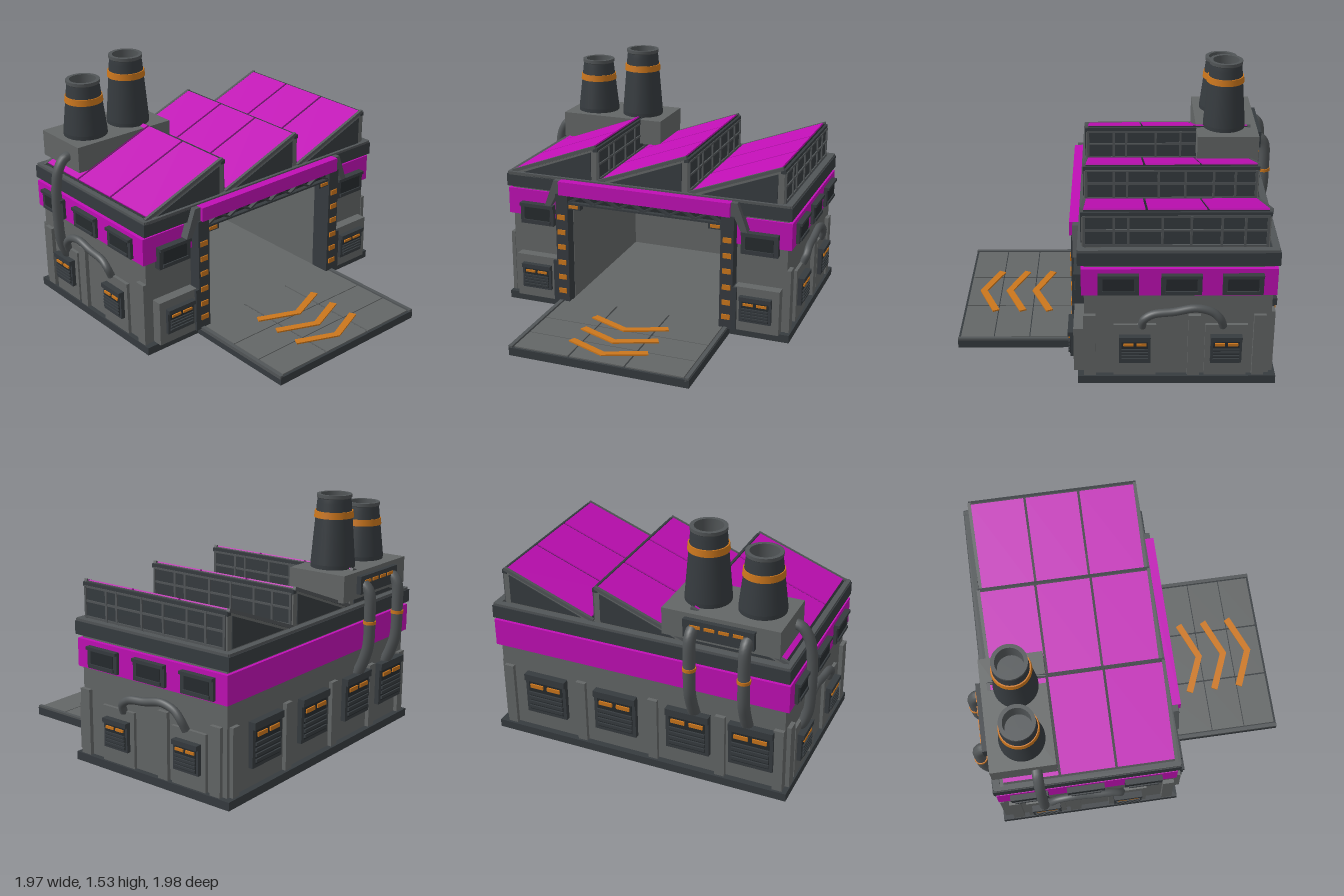
import * as THREE from 'three';

const mat = (name, color, side = THREE.FrontSide) => {
  const m = new THREE.MeshStandardMaterial({ color, side });
  m.name = name;
  return m;
};

export function createModel() {
  const gray = mat('wall gray', 0x636666);
  const dark = mat('dark metal', 0x363b3f);
  const mid = mat('pipe gray', 0x515557);
  const black = mat('shadow metal', 0x262b2e);
  const magenta = mat('magenta paint', 0xc00fb5);
  const orange = mat('orange paint', 0xcb761c);
  const model = new THREE.Group();

  const add = (parent, name, geo, m) => {
    const mesh = new THREE.Mesh(geo, m);
    mesh.name = name;
    parent.add(mesh);
    return mesh;
  };
  // Box given by its ranges on each axis
  const box = (parent, name, m, x0, x1, y0, y1, z0, z1) => {
    const mesh = add(parent, name, new THREE.BoxGeometry(x1 - x0, y1 - y0, z1 - z0), m);
    mesh.position.set((x0 + x1) / 2, (y0 + y1) / 2, (z0 + z1) / 2);
    return mesh;
  };
  // Flat outline in xy pushed along z
  const prism = (parent, name, m, pts, z0, z1) => {
    const shape = new THREE.Shape(pts.map(p => new THREE.Vector2(...p)));
    const mesh = add(parent, name, new THREE.ExtrudeGeometry(shape, { depth: z1 - z0, bevelEnabled: false }), m);
    mesh.position.z = z0;
    return mesh;
  };
  // Straight bar between two points in an xy plane
  const bar = (parent, name, m, a, b, w, z, d) => {
    const mesh = add(parent, name, new THREE.BoxGeometry(Math.hypot(b[0] - a[0], b[1] - a[1]), w, d), m);
    mesh.position.set((a[0] + b[0]) / 2, (a[1] + b[1]) / 2, z);
    mesh.rotation.z = Math.atan2(b[1] - a[1], b[0] - a[0]);
    return mesh;
  };
  const pipe = (parent, name, pts, r) => add(parent, name, new THREE.TubeGeometry(
    new THREE.CatmullRomCurve3(pts.map(p => new THREE.Vector3(...p))), 40, r, 12), mid);

  // Foundation
  box(model, 'foundation', dark, -0.93, 0.955, 0, 0.05, -0.91, 0.24);
  box(model, 'hallFloor', gray, -0.48, 0.525, 0.05, 0.058, -0.84, 0.24);

  // Walls around an open hall
  box(model, 'leftWall', gray, 0.525, 0.92, 0.05, 0.78, -0.87, 0.2);
  box(model, 'rightWall', gray, -0.9, -0.48, 0.05, 0.78, -0.87, 0.2);
  box(model, 'backWall', gray, -0.48, 0.525, 0.05, 0.78, -0.87, -0.84);
  box(model, 'hallCeiling', gray, -0.48, 0.525, 0.74, 0.78, -0.84, 0.2);

  // Painted band
  box(model, 'bandLeft', magenta, 0.56, 0.945, 0.59, 0.76, -0.89, 0.215);
  box(model, 'bandRight', magenta, -0.925, -0.53, 0.59, 0.76, -0.89, 0.215);
  box(model, 'bandBack', magenta, -0.53, 0.56, 0.59, 0.76, -0.89, -0.865);

  // Cornice with upper rails
  box(model, 'cornice', dark, -0.925, 0.945, 0.78, 0.86, -0.9, 0.235);
  for (const z of [-0.875, 0.215]) box(model, 'corniceRail', mid, -0.91, 0.93, 0.855, 0.875, z - 0.02, z + 0.02);
  for (const x of [-0.9, 0.92]) box(model, 'corniceRail', mid, x - 0.02, x + 0.02, 0.855, 0.875, -0.89, 0.23);

  // Saw-tooth roof
  for (let i = 0; i < 3; i++) {
    const tooth = new THREE.Group();
    tooth.name = 'roofTooth';
    tooth.position.x = -0.895 + i * 0.597;
    model.add(tooth);
    prism(tooth, 'toothBody', gray, [[0, 0.86], [0.585, 0.86], [0.585, 1.07], [0.56, 1.075]], -0.84, 0.21);
    for (const z of [-0.846, 0.209]) {
      prism(tooth, 'gable', dark, [[0.08, 0.875], [0.548, 0.875], [0.548, 1.055]], z, z + 0.007);
    }
    // Sloping panels separated by dark seams
    bar(tooth, 'slopeBacking', black, [0.01, 0.87], [0.575, 1.085], 0.012, -0.315, 1.05);
    for (const [z0, z1] of [[-0.83, -0.5], [-0.485, -0.16], [-0.145, 0.2]]) {
      bar(tooth, 'roofPanel', magenta, [0.02, 0.882], [0.565, 1.089], 0.014, (z0 + z1) / 2, z1 - z0);
    }
    for (const z of [-0.84, 0.207]) bar(tooth, 'slopeEdge', mid, [0, 0.872], [0.578, 1.092], 0.02, z, 0.02);
    box(tooth, 'ridge', dark, 0.562, 0.592, 1.06, 1.085, -0.845, 0.215);
    // Upright glazing
    box(tooth, 'glazing', dark, 0.58, 0.588, 0.875, 1.065, -0.82, 0.19);
    for (const z of [0.195, 0.03, -0.05, -0.24, -0.4, -0.57, -0.7, -0.825]) {
      box(tooth, 'mullion', mid, 0.583, 0.597, 0.87, 1.065, z - 0.007, z + 0.007);
    }
    for (const y of [0.88, 0.975, 1.06]) box(tooth, 'glazingRail', mid, 0.583, 0.596, y - 0.006, y + 0.006, -0.83, 0.2);
  }

  // Facade fittings: local x runs along the wall, local z points outwards
  const vent = (face, u, y, w, h, z = 0) => {
    const g = new THREE.Group();
    g.name = 'vent';
    g.position.set(u, y, z);
    face.add(g);
    box(g, 'ventFrame', dark, -w / 2, w / 2, -h / 2, h / 2, 0, 0.03);
    box(g, 'ventHood', dark, -w / 2, w / 2, h * 0.34, h / 2, 0, 0.045);
    box(g, 'ventRecess', black, -w * 0.42, w * 0.42, -h * 0.42, h * 0.32, 0.03, 0.033);
    for (let i = 0; i < 4; i++) {
      const s = box(g, 'slat', dark, -w * 0.42, w * 0.42, 0, h * 0.07, 0.03, 0.043);
      s.position.y = -h * 0.34 + i * h * 0.12;
    }
    for (const s of [-1, 1]) box(g, 'ventLight', orange, s * w * 0.21 - w * 0.16, s * w * 0.21 + w * 0.16, h * 0.17, h * 0.26, 0.033, 0.042);
  };
  const windowUnit = (face, u, y, w, h) => {
    const g = new THREE.Group();
    g.name = 'window';
    g.position.set(u, y, 0);
    face.add(g);
    box(g, 'windowFrame', dark, -w / 2, w / 2, -h / 2, h / 2, 0, 0.045);
    box(g, 'windowPane', black, -w * 0.38, w * 0.38, -h * 0.28, h * 0.3, 0.045, 0.048);
    box(g, 'windowHood', dark, -w / 2, w / 2, h * 0.36, h / 2, 0, 0.06);
    box(g, 'windowSill', dark, -w * 0.4, w * 0.4, -h * 0.42, -h * 0.28, 0.04, 0.056);
  };
  const rib = (face, u, w = 0.07) => box(face, 'rib', gray, u - w / 2, u + w / 2, 0.05, 0.455, 0, 0.025);
  const facade = (name, x, z, turn) => {
    const g = new THREE.Group();
    g.name = name;
    g.position.set(x, 0, z);
    g.rotation.y = turn;
    model.add(g);
    return g;
  };

  // Both side walls
  for (const s of [1, -1]) {
    const f = facade(s > 0 ? 'leftSide' : 'rightSide', s > 0 ? 0.92 : -0.9, 0, s * Math.PI / 2);
    for (const z of [0.005, -0.35, -0.695]) windowUnit(f, -s * z, 0.668, 0.23, 0.13);
    for (const z of [0.17, -0.43, -0.805]) rib(f, -s * z);
    for (const z of [-0.09, -0.615]) {
      box(f, 'ventPlate', gray, -s * z - 0.122, -s * z + 0.122, 0.05, 0.39, 0, 0.02);
      vent(f, -s * z, 0.238, 0.18, 0.18, 0.015);
    }
    pipe(f, 'sidePipe', [[-0.13, 0.38], [-0.14, 0.435], [-0.19, 0.47], [-0.31, 0.487], [-0.44, 0.51], [-0.53, 0.485], [-0.575, 0.44], [-0.595, 0.38]]
      .map(([z, y]) => [-s * z, y, y < 0.4 ? 0.015 : 0.035]), 0.024);
  }

  // Front wall
  const front = facade('frontSide', 0.02, 0.2, 0);
  for (const s of [-1, 1]) {
    box(front, 'ventPlate', gray, s * 0.735 - 0.14, s * 0.735 + 0.14, 0.05, 0.335, 0, 0.065);
    vent(front, s * 0.73, 0.2, 0.2, 0.165, 0.055);
    windowUnit(front, s * 0.735, 0.612, 0.23, 0.14);
  }

  // Back wall
  const back = facade('backSide', 0, -0.87, Math.PI);
  for (const x of [0.61, 0.145, -0.32, -0.71]) vent(back, -x, 0.31, 0.27, 0.27, 0.01);
  for (const x of [0.87, 0.38, -0.09, -0.515, -0.87]) rib(back, -x, 0.06);

  // Gate
  const gate = new THREE.Group();
  gate.name = 'gate';
  gate.position.x = 0.02;
  model.add(gate);
  for (const s of [-1, 1]) {
    const span = (name, m, a, b, y0, y1, z0, z1) =>
      box(gate, name, m, Math.min(s * a, s * b), Math.max(s * a, s * b), y0, y1, z0, z1);
    span('gatePost', dark, 0.503, 0.585, 0.05, 0.78, 0.15, 0.28);
    span('gateButtress', dark, 0.58, 0.61, 0.05, 0.33, 0.19, 0.28);
    for (const y of [0.13, 0.225, 0.325, 0.43, 0.53, 0.63]) span('gateStripe', orange, 0.52, 0.573, y - 0.016, y + 0.016, 0.28, 0.287);
    prism(gate, 'gateBracket', mid, [[0.555, 0.865], [0.6, 0.865], [0.665, 0.69], [0.625, 0.69], [0.58, 0.78], [0.555, 0.78]].map(([x, y]) => [s * x, y]), 0.19, 0.27);
    span('lampHousing', dark, 0.42, 0.503, 0.685, 0.725, 0.23, 0.27);
    span('lamp', orange, 0.435, 0.495, 0.695, 0.715, 0.27, 0.277);
  }
  box(gate, 'gateBeam', magenta, -0.56, 0.56, 0.778, 0.866, 0.2, 0.29);
  box(gate, 'trussBacking', black, -0.51, 0.51, 0.722, 0.78, 0.2, 0.245);
  box(gate, 'trussChord', dark, -0.51, 0.51, 0.72, 0.732, 0.23, 0.275);
  for (let i = 0; i < 12; i++) {
    const x = -0.5 + i / 12, up = i % 2;
    bar(gate, 'trussBrace', dark, [x, up ? 0.775 : 0.73], [x + 1 / 12, up ? 0.73 : 0.775], 0.012, 0.258, 0.025);
  }

  // Loading ramp
  const ramp = new THREE.Group();
  ramp.name = 'ramp';
  model.add(ramp);
  box(ramp, 'rampBase', dark, -0.55, 0.58, 0, 0.05, 0.2, 0.985);
  const cols = [[-0.52, -0.173], [-0.163, 0.18], [0.19, 0.545]];
  const rows = [[0.24, 0.545], [0.551, 0.763], [0.769, 0.97]];
  for (const [x0, x1] of cols) for (const [z0, z1] of rows) box(ramp, 'rampPanel', gray, x0, x1, 0.05, 0.058, z0, z1);
  for (const x of [-0.54, 0.565]) box(ramp, 'rampEdge', mid, x - 0.012, x + 0.012, 0.04, 0.062, 0.24, 0.985);
  for (const z of [0.45, 0.62, 0.79]) {
    const c = prism(ramp, 'chevron', orange, [[-0.245, -0.02], [-0.225, 0.02], [0.01, -0.08], [0.245, 0.02], [0.265, -0.02], [0.01, -0.125]]
      .map(([x, y]) => [x, y]), 0, 0.009);
    c.rotation.x = -Math.PI / 2;
    c.position.set(0, 0.058, z - 0.01);
  }

  // Chimney block
  box(model, 'chimneyBlock', gray, -0.86, -0.16, 0.92, 1.085, -0.89, -0.5);
  box(model, 'chimneyVent', dark, -0.72, -0.3, 0.95, 1.06, -0.92, -0.88);
  for (let i = 0; i < 4; i++) box(model, 'chimneyVentLight', orange, -0.66 + i * 0.085, -0.6 + i * 0.085, 1.015, 1.033, -0.927, -0.92);

  // Hollow tapered chimneys
  for (const [x, top, r] of [[-0.68, 1.44, 0.137], [-0.355, 1.53, 0.135]]) {
    const lathe = (name, m, pts) => add(model, name, new THREE.LatheGeometry(pts.map(p => new THREE.Vector2(...p)), 32), m).position.set(x, 0, -0.68);
    lathe('chimney', dark, [[r, 1.08], [r, 1.11], [r, 1.11], [0.104, top - 0.05], [0.1, top - 0.02]]);
    lathe('chimneyLip', mid, [[0.1, top - 0.025], [0.106, top - 0.02], [0.106, top - 0.02], [0.106, top], [0.106, top], [0.083, top], [0.083, top], [0.08, top - 0.12]]);
    lathe('chimneyBottom', mid, [[0.085, top - 0.12], [0, top - 0.12]]);
    lathe('chimneyRing', orange, [[0.105, top - 0.14], [0.12, top - 0.14], [0.12, top - 0.14], [0.116, top - 0.1], [0.116, top - 0.1], [0.1, top - 0.1]]);
    // Pipe down the back wall with a clamp
    const px = x;
    pipe(model, 'backPipe', [[px, 1.0, -0.87], [px, 1.0, -0.91], [px, 0.96, -0.945], [px, 0.8, -0.955], [px, 0.62, -0.95], [px, 0.52, -0.92], [px, 0.43, -0.88]], 0.035);
    add(model, 'pipeClamp', new THREE.CylinderGeometry(0.04, 0.04, 0.02, 16), orange).position.set(px, 0.775, -0.955);
  }

  // Pipe down the right wall
  pipe(model, 'outerPipe', [[-0.84, 1.0, -0.62], [-0.89, 0.985, -0.62], [-0.935, 0.92, -0.62], [-0.957, 0.8, -0.62], [-0.96, 0.6, -0.62], [-0.95, 0.45, -0.62], [-0.92, 0.36, -0.62], [-0.89, 0.32, -0.62]], 0.032);
  return model;
}
